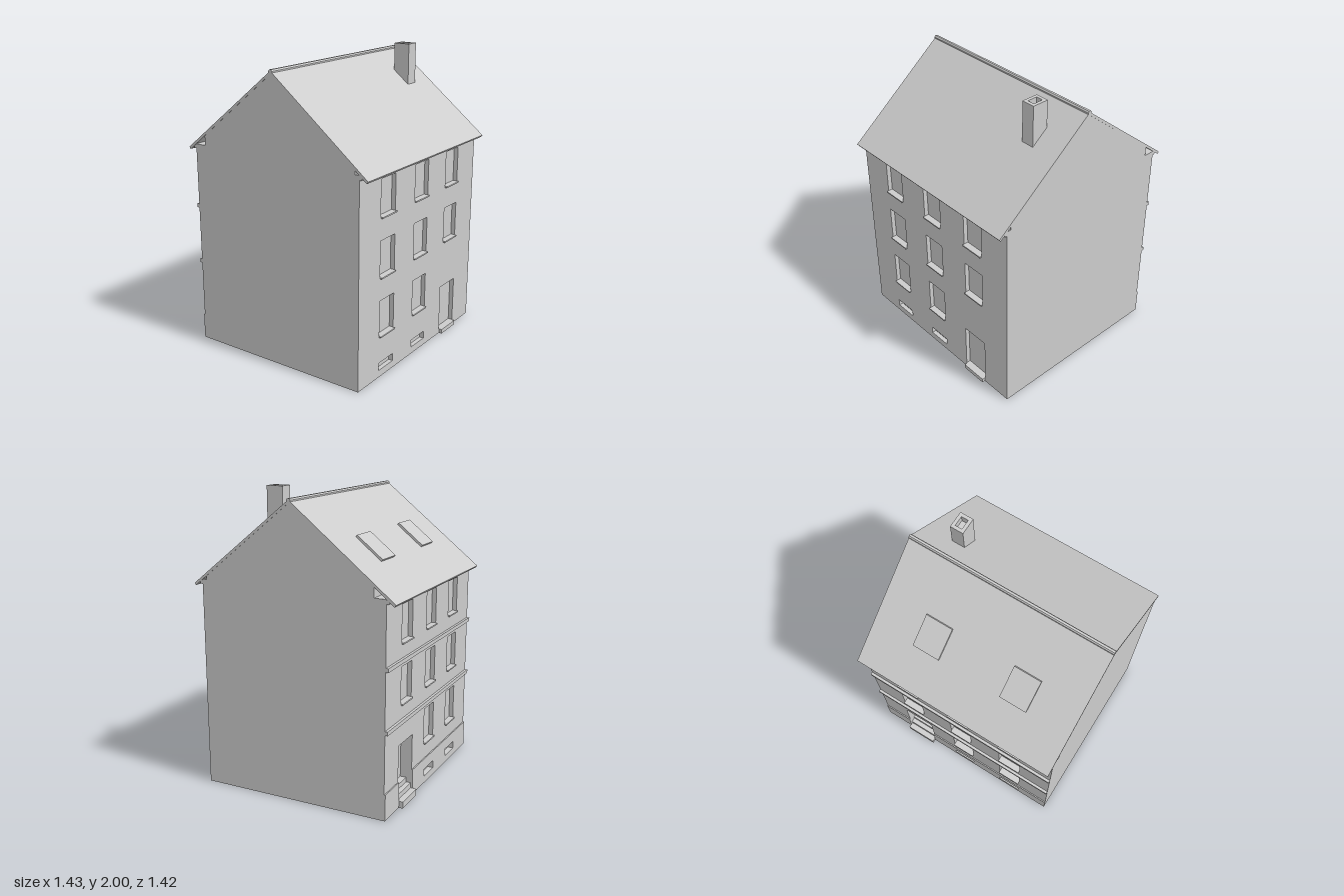
import * as THREE from 'three';

const HALF = 0.712;            // half width of the house
const FRONT = 0.65, BACK = -0.65;
const COLS = [-0.397, 0, 0.397];
const FLOORS = [0.285, 0.685, 1.08];
const WIN_W = 0.164, WIN_H = 0.245;

// Rectangle outline as a path or shape
function rect(Type, x0, y0, x1, y1) {
  return new Type([[x0, y0], [x1, y0], [x1, y1], [x0, y1]].map(p => new THREE.Vector2(...p)));
}

// Shape from [x, y] pairs
function poly(points) {
  return new THREE.Shape(points.map(p => new THREE.Vector2(...p)));
}

export function createModel() {
  const house = new THREE.Group();
  house.name = 'townhouse';
  const plaster = new THREE.MeshStandardMaterial({ color: 0xcccccc });
  plaster.name = 'light grey';

  function add(name, geometry) {
    const mesh = new THREE.Mesh(geometry, plaster);
    mesh.name = name;
    house.add(mesh);
    return mesh;
  }
  function box(name, x0, x1, y0, y1, z0, z1) {
    const mesh = add(name, new THREE.BoxGeometry(x1 - x0, y1 - y0, z1 - z0));
    mesh.position.set((x0 + x1) / 2, (y0 + y1) / 2, (z0 + z1) / 2);
    return mesh;
  }
  // Upright slab with holes, from z0 to z1
  function slab(name, shape, holes, z0, z1) {
    shape.holes = holes;
    const g = new THREE.ExtrudeGeometry(shape, { depth: z1 - z0, bevelEnabled: false });
    return add(name, g.translate(0, 0, z0));
  }
  // Profile given as [z, y] pairs, extruded along the width
  function across(name, profile, half) {
    const shape = poly(profile.map(([z, y]) => [-z, y]));
    const g = new THREE.ExtrudeGeometry(shape, { depth: half * 2, bevelEnabled: false });
    return add(name, g.rotateY(Math.PI / 2).translate(-half, 0, 0));
  }

  // Window positions: every bay except the ground floor door bay
  const windows = [];
  FLOORS.forEach((y, f) => COLS.forEach((x, c) => {
    if (f > 0 || c < 2) windows.push([x, y]);
  }));
  const windowHoles = () => windows.map(([x, y]) =>
    rect(THREE.Path, x - WIN_W / 2, y, x + WIN_W / 2, y + WIN_H));
  const cellarHoles = () => COLS.slice(0, 2).map(x =>
    rect(THREE.Path, x - WIN_W / 2, 0.048, x + WIN_W / 2, 0.1));
  const wallShape = () => rect(THREE.Shape, -HALF, 0, HALF, 1.4);

  // Solid core with both gables
  const under = z => 1.92 - 0.8 * Math.abs(z);
  across('gableBody', [
    [0.62, 0], [0.62, under(0.62)], [0, 1.92], [-0.57, under(0.57)], [-0.57, 0],
  ], HALF);

  // Front wall with recessed windows and door
  slab('frontWall', wallShape(),
    [...windowHoles(), ...cellarHoles(), rect(THREE.Path, 0.298, 0.03, 0.492, 0.353)], 0.62, FRONT);
  box('frontStep', 0.302, 0.488, 0, 0.03, 0.62, 0.672);

  // Back wall in two layers: shallow windows, deep doorway
  const doorway = () => rect(THREE.Path, 0.282, 0.045, 0.502, 0.42);
  slab('backWall', wallShape(), [...windowHoles(), ...cellarHoles(), doorway()], BACK, -0.62);
  slab('backWallInner', wallShape(), [doorway()], -0.62, -0.57);

  // Plinth at the back, open at the doorway
  slab('plinth', poly([
    [-HALF, 0], [0.282, 0], [0.282, 0.175], [-HALF, 0.175],
  ]), cellarHoles(), -0.658, BACK);
  box('plinthEnd', 0.502, HALF, 0, 0.175, -0.658, BACK);

  // Steps rising into the doorway
  [[-0.686, 0.045], [-0.645, 0.08], [-0.612, 0.112]].forEach(([z, y]) =>
    box('backStep', 0.282, 0.502, 0, y, z, -0.57));

  // Sills under all windows
  windows.forEach(([x, y]) => {
    const x0 = x - WIN_W / 2, x1 = x + WIN_W / 2;
    box('frontSill', x0, x1, y - 0.005, y + 0.004, 0.62, 0.664);
    box('backSill', x0, x1, y - 0.005, y + 0.004, -0.664, -0.62);
  });

  // String courses on the back, eaves mouldings on both sides
  [0.575, 0.972].forEach(y =>
    box('stringCourse', -HALF, HALF, y - 0.013, y + 0.013, -0.668, BACK));
  box('frontEavesMoulding', -HALF, HALF, 1.37, 1.395, FRONT, 0.667);
  box('backEavesMoulding', -HALF, HALF, 1.37, 1.395, -0.667, BACK);

  // Roof shell and ridge cap
  across('roof', [
    [0, 1.94], [0.712, 1.372], [0.702, 1.358], [0, 1.92],
    [-0.702, 1.358], [-0.712, 1.372],
  ], 0.714);
  across('ridgeCap', [
    [0.014, 1.922], [0.014, 1.938], [0.007, 1.948], [-0.007, 1.948], [-0.014, 1.938], [-0.014, 1.922],
  ], 0.714);

  // Roof windows on the back slope
  const pitch = Math.atan2(0.568, 0.712);
  [-0.317, 0.317].forEach(x => {
    const pane = add('roofWindow', new THREE.BoxGeometry(0.19, 0.03, 0.225));
    pane.position.set(x, 1.94 - 0.798 * 0.388, -0.388);
    pane.rotation.x = -pitch;
  });

  // Chimney with an open flue
  const stack = rect(THREE.Shape, 0.428, -0.27, 0.52, -0.155);
  stack.holes = [rect(THREE.Path, 0.45, -0.247, 0.498, -0.178)];
  const chimney = new THREE.ExtrudeGeometry(stack, { depth: 0.275, bevelEnabled: false });
  add('chimney', chimney.rotateX(-Math.PI / 2).translate(0, 1.725, 0));
  box('flueBottom', 0.445, 0.503, 1.8, 1.95, 0.173, 0.252);

  return house;
}
